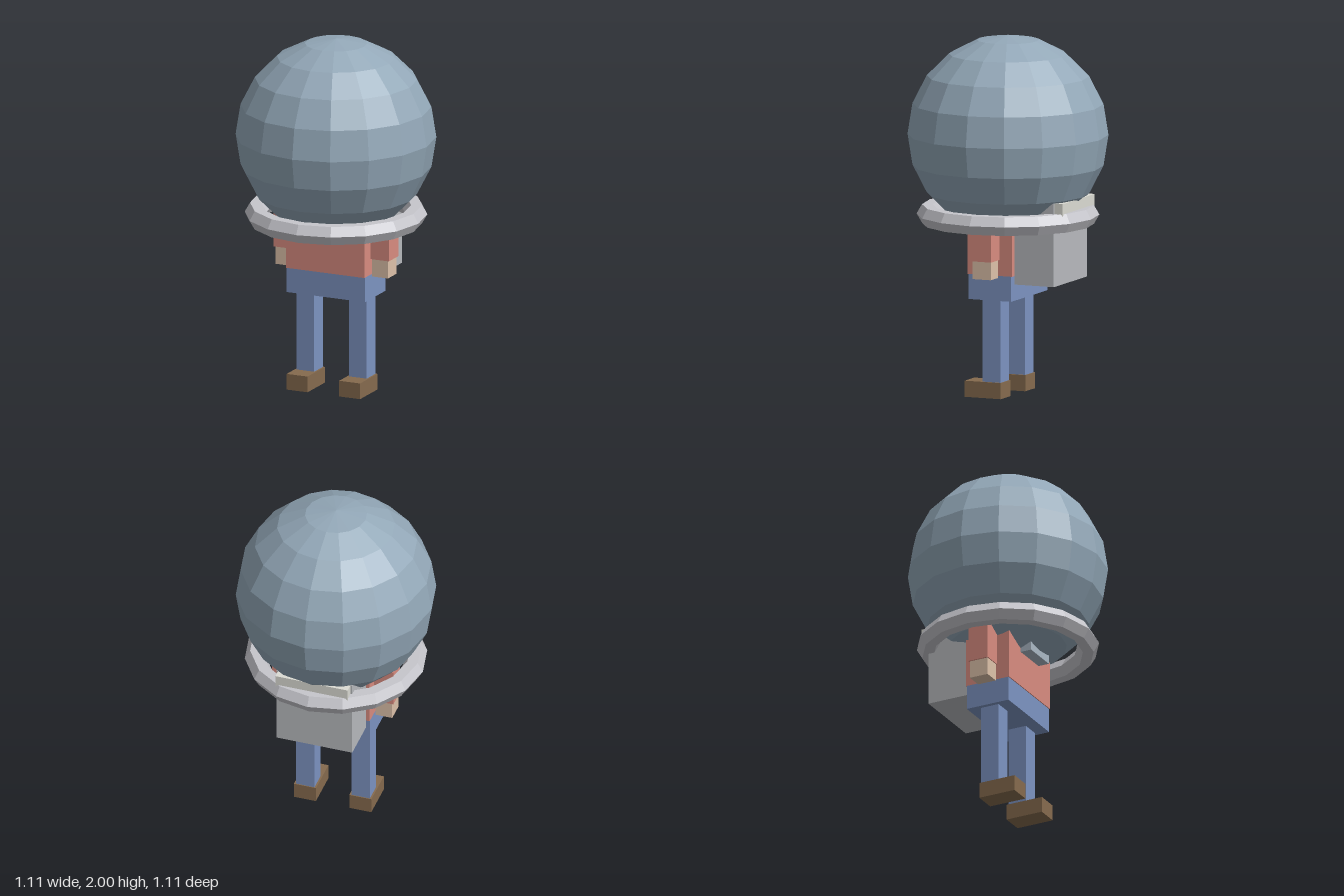
import * as THREE from 'three';

const mat = (color) => new THREE.MeshStandardMaterial({ color, flatShading: true });

export function createModel() {
  const model = new THREE.Group();
  const mats = {
    glass: mat(0x93a8b8), metal: mat(0xc6c6cc), shirt: mat(0xd98c80), trousers: mat(0x7d94c2),
    shoe: mat(0x866b4e), skin: mat(0xdec2aa), pack: mat(0xb8babe), pale: mat(0xdcdcd4), badge: mat(0xabb9c5),
  };

  const add = (name, geometry, material) => {
    const mesh = new THREE.Mesh(geometry, mats[material]);
    mesh.name = name;
    model.add(mesh);
    return mesh;
  };
  // Box given by its lower and upper limits on each axis
  const box = (name, material, [x0, x1], [y0, y1], [z0, z1]) =>
    add(name, new THREE.BoxGeometry(x1 - x0, y1 - y0, z1 - z0), material)
      .position.set((x0 + x1) / 2, (y0 + y1) / 2, (z0 + z1) / 2);

  // Round helmet and its collar ring
  add('helmet', new THREE.SphereGeometry(0.555, 16, 10), 'glass').position.y = 1.445;
  const ring = add('collarRing', new THREE.TorusGeometry(0.445, 0.06, 6, 16), 'metal');
  ring.rotation.x = Math.PI / 2;
  ring.position.y = 1;

  // Body
  box('torso', 'shirt', [-0.24, 0.24], [0.69, 1.0], [-0.135, 0.135]);
  box('hips', 'trousers', [-0.24, 0.24], [0.55, 0.69], [-0.13, 0.13]);
  box('chestPanel', 'badge', [-0.105, 0.105], [0.895, 1.0], [0.13, 0.2]);

  // Backpack with a pale plate high on its back
  box('backpack', 'pack', [-0.22, 0.22], [0.645, 1.11], [-0.38, -0.14]);
  box('backpackPlate', 'pale', [-0.21, 0.21], [0.97, 1.11], [-0.43, -0.38]);

  // Limbs, mirrored
  for (const [side, s] of [['left', 1], ['right', -1]]) {
    const span = (a, b) => (s > 0 ? [a, b] : [-b, -a]);
    box(side + 'Arm', 'shirt', span(0.24, 0.353), [0.78, 1.0], [-0.06, 0.06]);
    box(side + 'Hand', 'skin', span(0.248, 0.345), [0.68, 0.78], [-0.055, 0.055]);
    box(side + 'Leg', 'trousers', span(0.107, 0.215), [0.09, 0.55], [-0.055, 0.055]);
    box(side + 'Shoe', 'shoe', span(0.097, 0.225), [0, 0.09], [-0.06, 0.16]);
  }
  return model;
}
